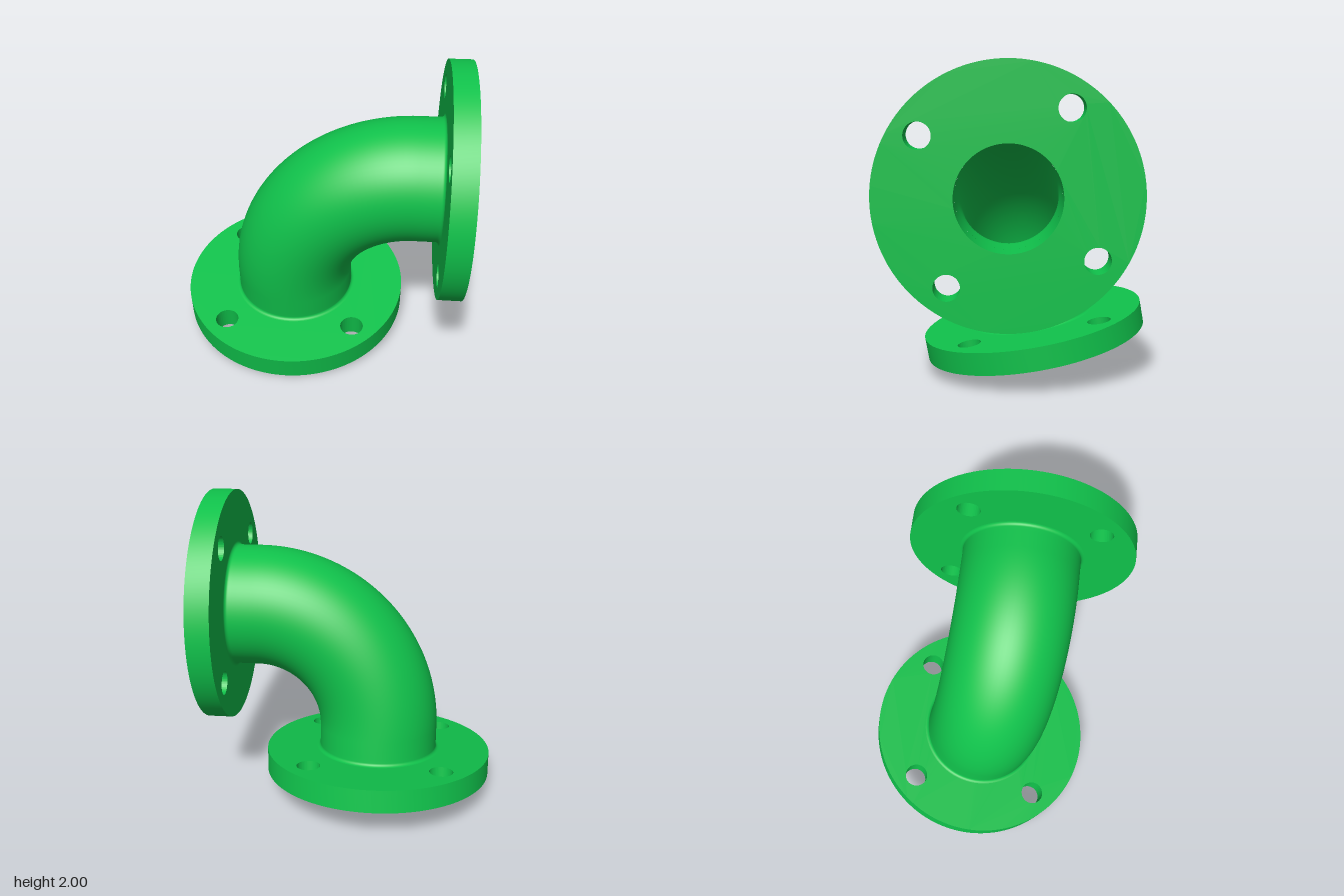
import * as THREE from 'three';
import { toCreasedNormals } from 'three/addons/utils/BufferGeometryUtils.js';

const FLANGE_R = 0.763, FLANGE_T = 0.15, BORE_R = 0.307, PIPE_R = 0.4;
const BOLT_OFFSET = 0.43, BOLT_R = 0.077;
const REACH = 1.12;            // elbow corner to each flange face
const BEND_R = 0.81;           // centreline radius of the bend
const STRAIGHT = REACH - BEND_R;
const LENGTH = 2 * STRAIGHT + BEND_R * Math.PI / 2;
const FILLET = 0.022;

// Round plate along +z with a central bore and four bolt holes
function flangeGeometry() {
  const shape = new THREE.Shape().absarc(0, 0, FLANGE_R, 0, Math.PI * 2, false);
  const hole = (x, y, r) =>
    shape.holes.push(new THREE.Path().absarc(x, y, r, 0, Math.PI * 2, true));
  hole(0, 0, BORE_R);
  for (const sx of [-1, 1]) {
    for (const sy of [-1, 1]) hole(sx * BOLT_OFFSET, sy * BOLT_OFFSET, BOLT_R);
  }
  const geometry = new THREE.ExtrudeGeometry(shape, {
    depth: FLANGE_T, bevelEnabled: false, curveSegments: 80,
  });
  return toCreasedNormals(geometry, Math.PI / 6);
}

// Bend a geometry standing along y through a quarter turn towards +x
function bend(geometry) {
  const pos = geometry.attributes.position, nor = geometry.attributes.normal;
  for (let i = 0; i < pos.count; i++) {
    const x = pos.getX(i), s = pos.getY(i);
    const along = THREE.MathUtils.clamp(s - STRAIGHT, 0, BEND_R * Math.PI / 2);
    const t = along / BEND_R, c = Math.cos(t), n = Math.sin(t);
    const extra = s - STRAIGHT - along;
    pos.setXY(i,
      BEND_R - (BEND_R - x) * c + extra * n,
      STRAIGHT + (BEND_R - x) * n + extra * c);
    const nx = nor.getX(i), ny = nor.getY(i);
    nor.setXY(i, nx * c + ny * n, -nx * n + ny * c);
  }
  return geometry;
}

// Evenly spaced profile points on a straight wall
function wall(radius, from, to, steps = 56) {
  return Array.from({ length: steps + 1 }, (_, i) =>
    new THREE.Vector2(radius, from + (to - from) * i / steps));
}

// Outer wall with a small fillet against each flange
function outerProfile() {
  const lower = [];
  for (let i = 0; i < 6; i++) {
    const a = i / 6 * Math.PI / 2;
    lower.push(new THREE.Vector2(
      PIPE_R + FILLET * (1 - Math.sin(a)),
      FLANGE_T + FILLET * (1 - Math.cos(a))));
  }
  const upper = lower.map((p) => new THREE.Vector2(p.x, LENGTH - p.y)).reverse();
  const start = FLANGE_T + FILLET;
  return [...lower, ...wall(PIPE_R, start, LENGTH - start), ...upper];
}

export function createModel() {
  const green = new THREE.MeshStandardMaterial({ color: 0x10c24b });
  green.name = 'green';

  const model = new THREE.Group();
  model.name = 'pipeElbow';
  const add = (name, geometry) => {
    const mesh = new THREE.Mesh(geometry, green);
    mesh.name = name;
    model.add(mesh);
    return mesh;
  };

  // Flanges at both ends
  add('baseFlange', flangeGeometry().rotateX(-Math.PI / 2));
  add('sideFlange', flangeGeometry().rotateY(Math.PI / 2))
    .position.set(REACH - FLANGE_T, REACH, 0);

  // Curved pipe, outside and inside
  add('pipeOuterWall', bend(new THREE.LatheGeometry(outerProfile(), 80)));
  add('pipeBore', bend(new THREE.LatheGeometry(
    wall(BORE_R, LENGTH - FLANGE_T, FLANGE_T), 80)));

  // The whole elbow leans forward about the side flange's axis
  model.rotation.x = THREE.MathUtils.degToRad(10);
  model.position.set(-0.18, 0.1325, -0.1);

  const root = new THREE.Group();
  root.name = 'flangedElbow';
  root.add(model);
  return root;
}
